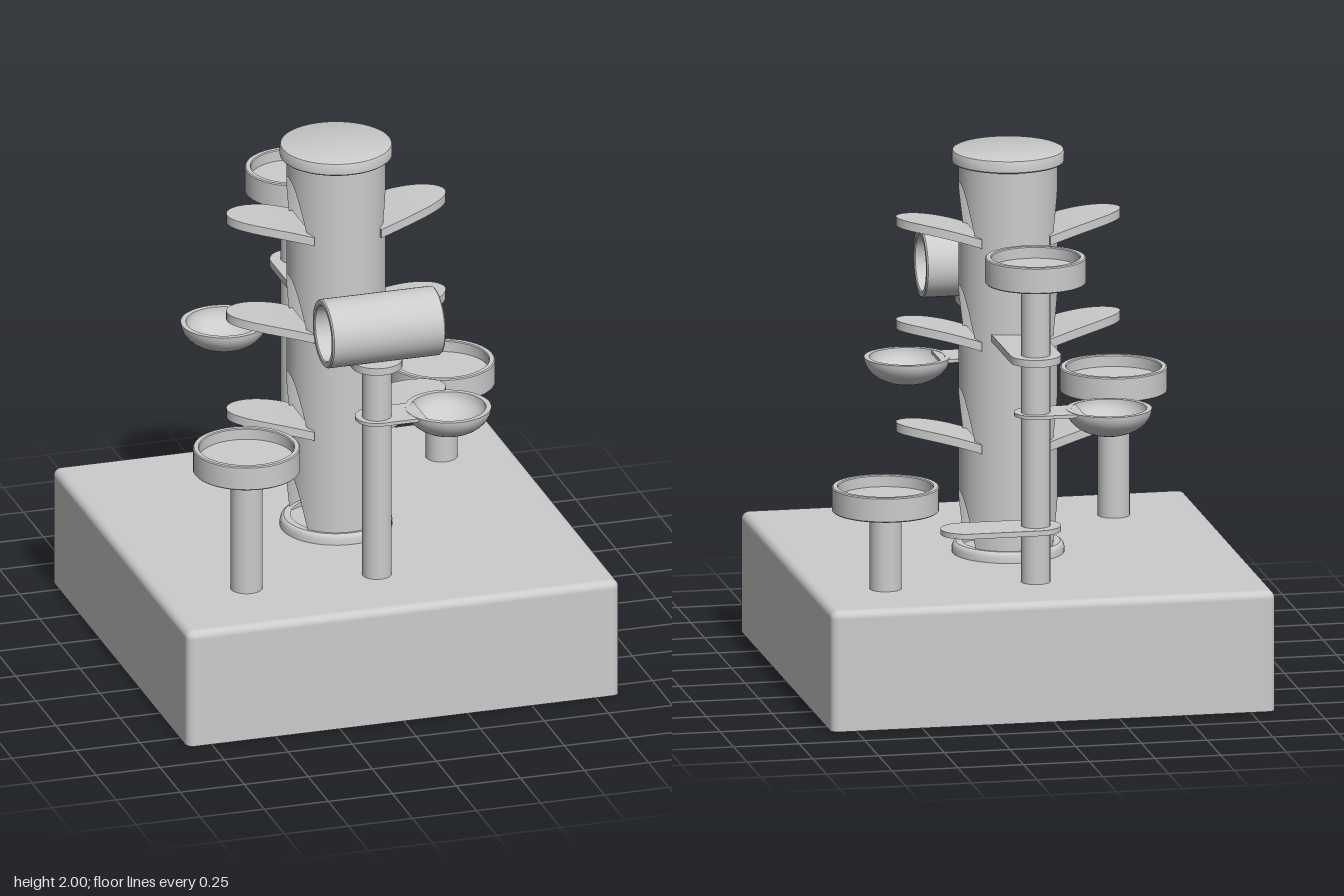
import * as THREE from 'three';
import { toCreasedNormals } from 'three/addons/utils/BufferGeometryUtils.js';
import { RoundedBoxGeometry } from 'three/addons/geometries/RoundedBoxGeometry.js';

const solid = new THREE.MeshStandardMaterial({ color: 0xcccccc });
const sheet = new THREE.MeshStandardMaterial({ color: 0xcccccc, side: THREE.DoubleSide });

const TRUNK_R = 0.185, FLOOR_0 = 0.49, FLOOR_STEP = 0.393, TRUNK_TOP = 1.96;

export function createModel() {
  const model = new THREE.Group();

  const add = (name, geometry, x = 0, y = 0, z = 0, material = solid) => {
    const mesh = new THREE.Mesh(geometry, material);
    mesh.name = name;
    mesh.position.set(x, y, z);
    model.add(mesh);
    return mesh;
  };
  // Turned part from [radius, height] pairs, listed from the bottom up the outside
  const turned = (profile, sides = 48) => toCreasedNormals(
    new THREE.LatheGeometry(profile.map(([r, y]) => new THREE.Vector2(r, y)), sides), 0.6);
  const post = (name, x, z, r, bottom, top) =>
    add(name, new THREE.CylinderGeometry(r, r, top - bottom, 32), x, (top + bottom) / 2, z);

  // Base: rounded block, open underneath
  add('base', openBlock(1.69, 0.46, 0.03), 0, 0, 0, sheet);

  // Trunk: one tube section per floor, with an arched doorway on both sides
  for (let i = 0; i < 4; i++) {
    const bottom = FLOOR_0 + FLOOR_STEP * i;
    const top = i < 3 ? bottom + FLOOR_STEP : TRUNK_TOP;
    add('trunkSection', archedTube(bottom, top), 0, 0, 0, sheet);
  }
  add('trunkCollar', turned([[0.17, 0.45], [0.21, 0.45], [0.21, 0.48], [0.205, 0.493],
    [0.195, 0.5], [0.17, 0.5]]), 0, 0, 0, sheet);
  add('trunkCap', turned([[0, 1.95], [0.205, 1.95], [0.21, 1.955], [0.21, 1.99],
    [0.207, 1.997], [0.2, 2], [0, 2]]));

  // Leaf-shaped steps below the upper three doorways
  const leaf = leafGeometry();
  for (let i = 1; i < 4; i++) {
    for (const turn of [0, Math.PI]) {
      add('leafStep', leaf, 0, FLOOR_0 + FLOOR_STEP * i - 0.013, 0).rotation.y = turn;
    }
  }

  // Posts
  post('frontPost', 0, 0.508, 0.055, 0.31, 1.325);
  post('backPost', 0, -0.508, 0.055, 0.45, 1.62);
  post('rightPost', -0.503, 0.49, 0.06, 0.45, 0.95);
  post('leftPost', 0.57, -0.505, 0.06, 0.45, 0.77);

  // Round trays with a raised rim
  const tray = (name, x, y, z, r, h) => add(name, turned([[0, 0], [r - 0.004, 0], [r, 0.004],
    [r, h - 0.004], [r - 0.004, h], [r - 0.02, h], [r - 0.023, h - 0.004],
    [r - 0.023, h - 0.045], [0, h - 0.045]]), x, y, z);
  tray('backTray', 0, 1.603, -0.508, 0.188, 0.1);
  tray('rightTray', -0.503, 0.935, 0.49, 0.2, 0.095);
  tray('leftTray', 0.57, 0.757, -0.505, 0.2, 0.095);

  // Bridges from the trunk to the two central posts
  const bridge = tabGeometry(0.095, 0.35, 0.028);
  add('frontBridge', bridge, 0, 1.3, 0.508).rotation.y = -Math.PI / 2 + Math.PI;
  add('backBridge', bridge, 0, 1.3, -0.508).rotation.y = -Math.PI / 2;

  // Low rounded step on the back post
  add('lowStep', tabGeometry(0.095, 0.265, 0.02, true), 0, 0.655, -0.508);

  // Bowls held beside the central posts
  const bowl = bowlGeometry(turned);
  const arm = tabGeometry(0.08, 0.17, 0.013);
  for (const [name, side, y] of [['front', 1, 1.1], ['back', -1, 1.11]]) {
    add(name + 'Bowl', bowl, 0.28 * side, y, 0.505 * side);
    add(name + 'BowlArm', arm, 0, y - 0.014, 0.505 * side).rotation.y = side > 0 ? 0 : Math.PI;
  }

  // Open tunnel lying on the front post
  const tunnel = turned([[0.105, -0.216], [0.109, -0.22], [0.126, -0.22], [0.13, -0.215],
    [0.13, 0.215], [0.126, 0.22], [0.109, 0.22], [0.105, 0.216], [0.105, -0.216]]);
  add('tunnel', tunnel, 0.01, 1.455, 0.507).rotation.z = Math.PI / 2;

  return model;
}

// Upper half of a rounded block: squash the lower half flat and drop its floor
function openBlock(width, height, radius) {
  const block = new RoundedBoxGeometry(width, height * 2, width, 4, radius);
  const p = block.attributes.position, n = block.attributes.normal;
  const positions = [], normals = [];
  for (let i = 0; i < p.count; i += 3) {
    const ys = [0, 1, 2].map((k) => Math.max(0, p.getY(i + k)));
    if (Math.max(...ys) === 0) continue;
    for (let k = 0; k < 3; k++) {
      positions.push(p.getX(i + k), ys[k], p.getZ(i + k));
      normals.push(n.getX(i + k), n.getY(i + k), n.getZ(i + k));
    }
  }
  const g = new THREE.BufferGeometry();
  g.setAttribute('position', new THREE.Float32BufferAttribute(positions, 3));
  g.setAttribute('normal', new THREE.Float32BufferAttribute(normals, 3));
  return g;
}

// Tube whose lower edge rises in an arch facing +x and -x
function archedTube(bottom, top) {
  const g = new THREE.CylinderGeometry(TRUNK_R, TRUNK_R, 1, 96, 1, true);
  const p = g.attributes.position;
  for (let i = 0; i < p.count; i++) {
    if (p.getY(i) > 0) {
      p.setY(i, top);
    } else {
      const across = Math.min(1, Math.abs(p.getZ(i)) / 0.115);
      p.setY(i, bottom + 0.21 * (1 - across ** 2.5));
    }
  }
  return g;
}

// Leaf step: a slab narrowed to a rounded tip and curved upward
function leafGeometry() {
  const g = new THREE.BoxGeometry(1, 0.034, 2, 20, 1, 8);
  const p = g.attributes.position;
  for (let i = 0; i < p.count; i++) {
    const angle = (p.getX(i) + 0.5) * Math.PI / 2;
    const u = Math.sin(angle);
    p.setXYZ(i, 0.13 + 0.295 * u,
      p.getY(i) + 0.017 + 0.105 * u - 0.038 * u * u,
      p.getZ(i) * 0.15 * Math.cos(angle));
  }
  g.computeVertexNormals();
  return g;
}

// Flat plate along +x, rounded around the origin and, if wanted, at the far end
function tabGeometry(r, length, thickness, roundEnd = false) {
  const s = new THREE.Shape();
  s.absarc(0, 0, r, Math.PI / 2, Math.PI * 1.5, false);
  if (roundEnd) {
    s.absarc(length, 0, r, -Math.PI / 2, Math.PI / 2, false);
  } else {
    s.lineTo(length, -r);
    s.lineTo(length, r);
  }
  s.closePath();
  const g = new THREE.ExtrudeGeometry(s, { depth: thickness, bevelEnabled: false, curveSegments: 20 });
  g.rotateX(-Math.PI / 2);
  return toCreasedNormals(g, 0.6);
}

// Shallow bowl with its rim at y = 0
function bowlGeometry(turned) {
  const outer = [], inner = [];
  for (let i = 0; i <= 12; i++) {
    const a = (i / 12) * Math.PI / 2;
    outer.push([0.161 * Math.sin(a), -0.105 * Math.cos(a)]);
    inner.unshift([0.141 * Math.sin(a), -0.09 * Math.cos(a)]);
  }
  return turned([...outer, ...inner]);
}
